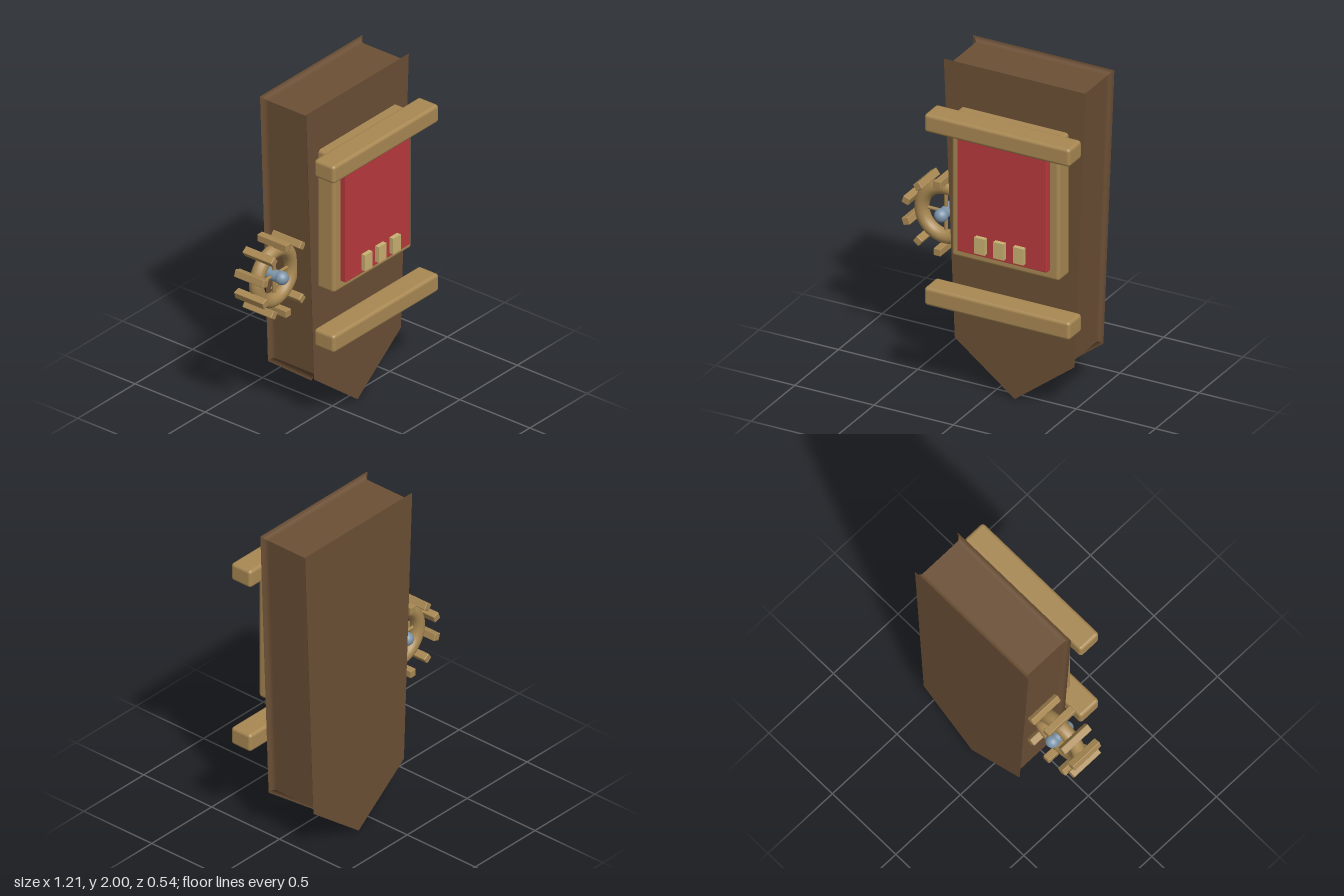
import * as THREE from 'three';
import { RoundedBoxGeometry } from 'three/addons/geometries/RoundedBoxGeometry.js';

const mat = (name, color) => {
  const m = new THREE.MeshStandardMaterial({ color });
  m.name = name;
  return m;
};

export function createModel() {
  const darkWood = mat('dark wood', 0x6b4f35);
  const lightWood = mat('light wood', 0xa88853);
  const red = mat('red panel', 0xb83a3d);
  const cream = mat('pale tan', 0xc9b072);
  const steel = mat('blue grey steel', 0x7d95aa);

  const model = new THREE.Group();
  const add = (parent, name, geometry, material, x = 0, y = 0, z = 0) => {
    const mesh = new THREE.Mesh(geometry, material);
    mesh.name = name;
    mesh.position.set(x, y, z);
    parent.add(mesh);
    return mesh;
  };
  // box given by its limits, with optional rounded edges
  const block = (name, material, [x0, x1], [y0, y1], [z0, z1], radius = 0) => {
    const size = [x1 - x0, y1 - y0, z1 - z0];
    const geometry = radius
      ? new RoundedBoxGeometry(...size, 3, radius)
      : new THREE.BoxGeometry(...size);
    return add(model, name, geometry, material, (x0 + x1) / 2, (y0 + y1) / 2, (z0 + z1) / 2);
  };

  // tapered pointed body: the negative bevel leaves flared lips at front and back
  const outline = new THREE.Shape([
    [0.145, 0], [0.523, 0.29], [0.592, 2], [-0.302, 2], [-0.233, 0.29],
  ].map(([x, y]) => new THREE.Vector2(x, y)));
  const bodyGeometry = new THREE.ExtrudeGeometry(outline, {
    depth: 0.27, bevelThickness: 0.03, bevelSize: -0.03, bevelSegments: 5, steps: 1,
  });
  add(model, 'body', bodyGeometry, darkWood, 0, 0, -0.24);

  // framed front panel with three small labels
  block('panelFrame', lightWood, [-0.195, 0.485], [0.855, 1.73], [0.03, 0.17], 0.02);
  block('redPanel', red, [-0.138, 0.428], [0.915, 1.665], [0.13, 0.207], 0.005);
  for (const x of [0.022, 0.143, 0.267]) {
    block('label', cream, [x - 0.033, x + 0.033], [0.945, 1.045], [0.215, 0.242]);
  }

  // cross bars
  for (const y of [1.69, 0.617]) {
    block('crossBar', lightWood, [-0.315, 0.605], [y - 0.056, y + 0.056], [0.123, 0.268], 0.02);
  }

  // wheel on the model's right side
  const wheel = new THREE.Group();
  wheel.name = 'wheel';
  wheel.position.set(-0.38, 0.96, -0.106);
  model.add(wheel);
  add(wheel, 'rim', new THREE.TorusGeometry(0.152, 0.042, 16, 48), lightWood);
  for (let i = 0; i < 10; i++) {
    const a = Math.PI / 2 + (i * Math.PI) / 5;
    const peg = add(wheel, 'peg', new RoundedBoxGeometry(0.045, 0.045, 0.208, 2, 0.005), lightWood,
      0.208 * Math.cos(a), 0.208 * Math.sin(a));
    peg.rotation.z = a;
  }
  for (const turn of [0, Math.PI / 2]) {
    const spoke = add(wheel, 'spoke', new THREE.CylinderGeometry(0.01, 0.01, 0.28, 10), lightWood);
    spoke.rotation.z = turn;
  }

  // hub: axle with a ball on each end
  const axle = add(wheel, 'axle', new THREE.CylinderGeometry(0.034, 0.034, 0.12, 20), steel);
  axle.rotation.x = Math.PI / 2;
  for (const s of [-1, 1]) {
    add(wheel, 'hubBall', new THREE.SphereGeometry(0.04, 20, 14), steel, 0, 0, s * 0.055);
  }

  return model;
}
